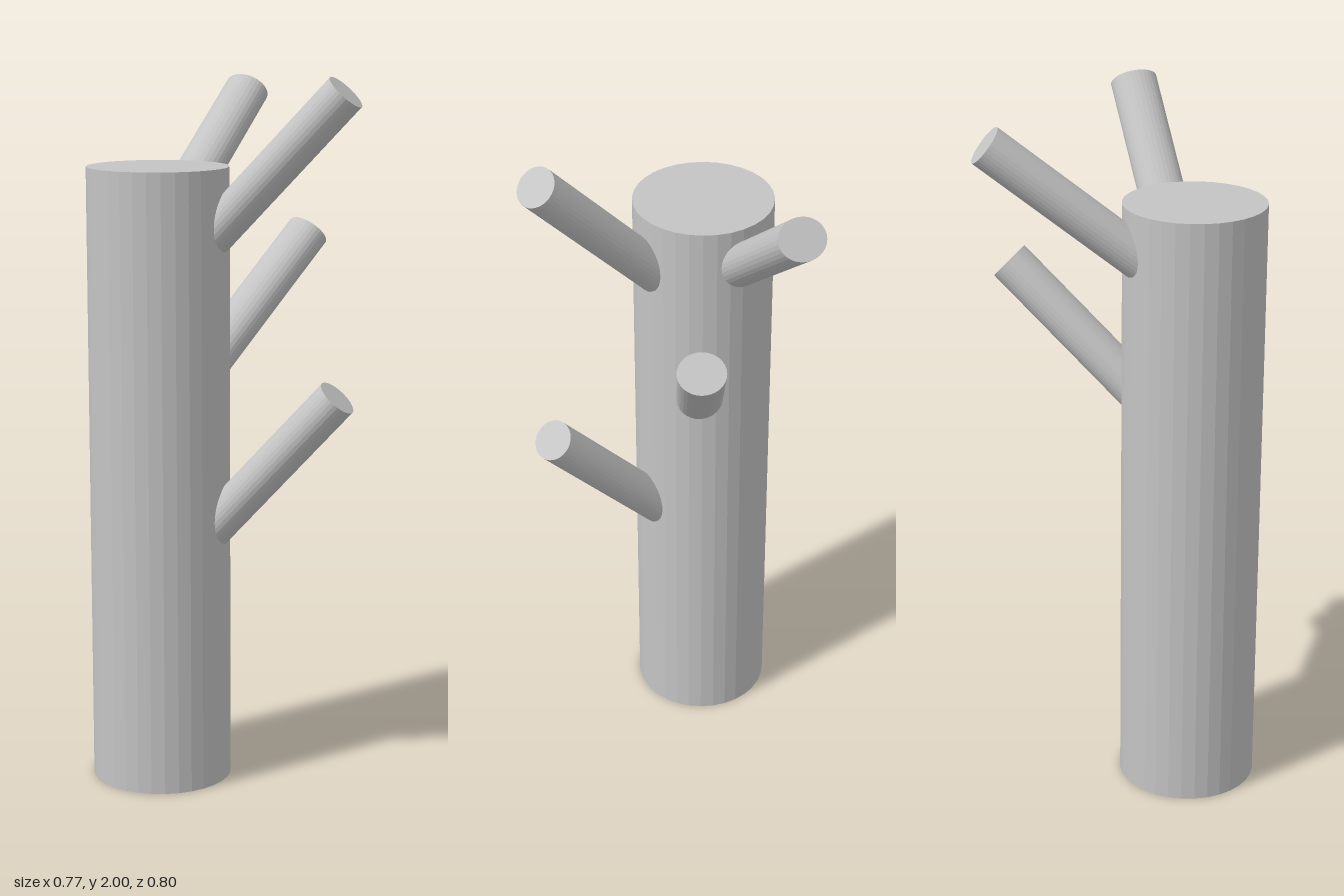
import * as THREE from 'three';

export function createModel() {
  const group = new THREE.Group();
  const grey = new THREE.MeshStandardMaterial({ color: 0xc4c4c4, flatShading: true });
  grey.name = 'light grey';

  // upright trunk
  const trunk = new THREE.Mesh(new THREE.CylinderGeometry(0.198, 0.198, 1.75, 32), grey);
  trunk.name = 'trunk';
  trunk.position.set(-0.19, 0.875, 0.2);
  group.add(trunk);

  // slanted branch from inside the trunk to its tip, slightly flattened in section
  function addBranch(name, start, end) {
    const a = new THREE.Vector3(...start);
    const b = new THREE.Vector3(...end);
    const dir = b.clone().sub(a);
    const length = dir.length();
    dir.normalize();
    const side = new THREE.Vector3(0, 1, 0).cross(dir).normalize();
    const up = side.clone().cross(dir);
    const geometry = new THREE.CylinderGeometry(1, 1, length, 32).scale(0.067, 1, 0.058);
    const branch = new THREE.Mesh(geometry, grey);
    branch.name = name;
    branch.quaternion.setFromRotationMatrix(new THREE.Matrix4().makeBasis(side, dir, up));
    branch.position.copy(a).add(b).multiplyScalar(0.5);
    group.add(branch);
  }

  addBranch('upperSideBranch', [-0.1, 1.49, 0.203], [0.342, 1.96, 0.19]);
  addBranch('lowerSideBranch', [-0.1, 0.665, 0.203], [0.325, 1.13, 0.19]);
  addBranch('upperBackBranch', [-0.212, 1.56, 0.1], [-0.117, 1.932, -0.362]);
  addBranch('middleBackBranch', [-0.125, 1.126, 0.12], [0.109, 1.533, -0.244]);

  return group;
}
